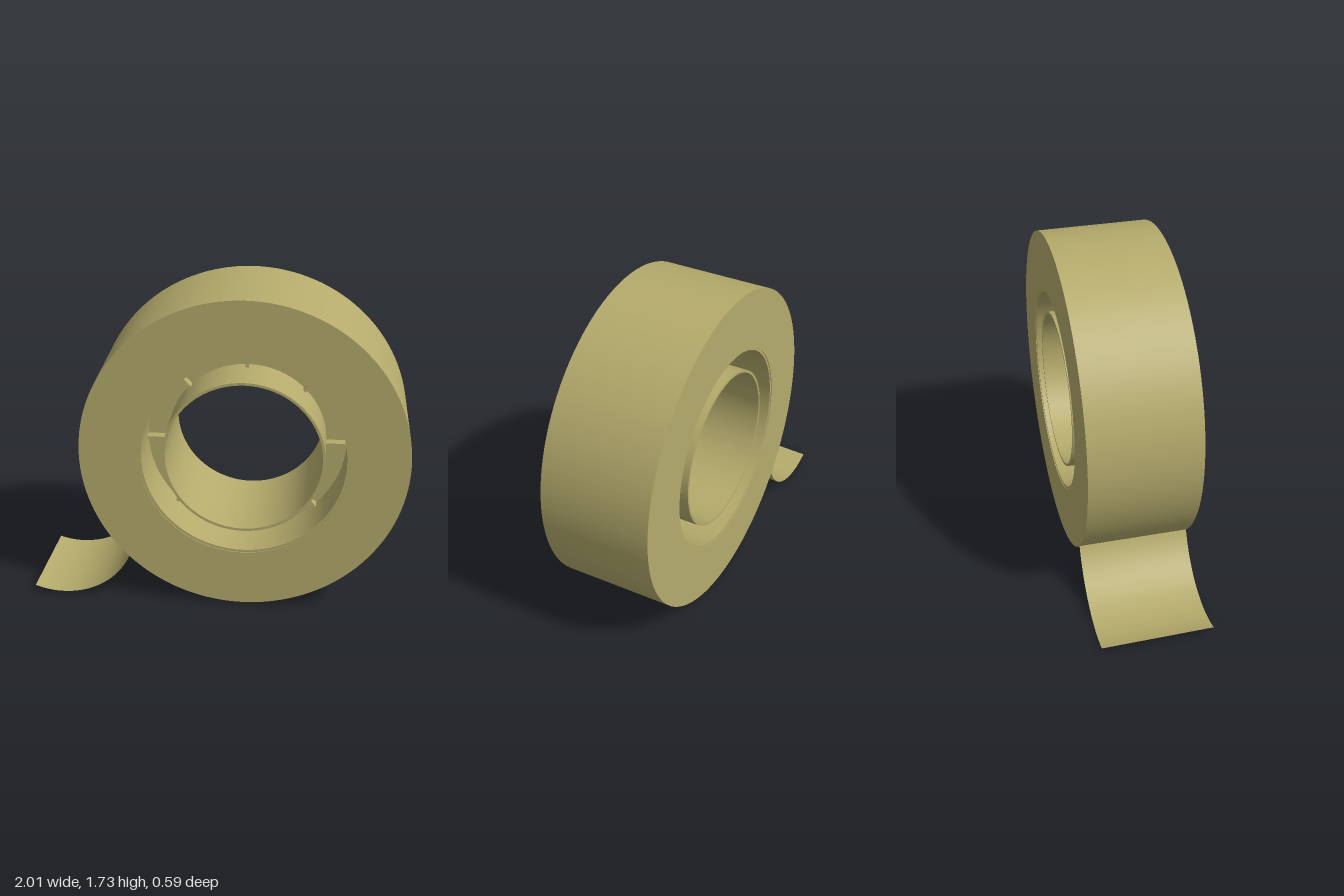
import * as THREE from 'three';
import { mergeGeometries } from 'three/addons/utils/BufferGeometryUtils.js';

const CX = 0.135, CY = 0.865; // roll axis
const HALF = 0.296; // half width of the tape

// Sharp-edged ring around the z axis with smooth walls
function ringGeometry(inner, outer, half) {
  const profile = [[inner, -half], [outer, -half], [outer, half], [inner, half], [inner, -half]]
    .map(([r, h]) => new THREE.Vector2(r, h));
  const walls = [];
  for (let i = 0; i < 4; i++) walls.push(new THREE.LatheGeometry([profile[i], profile[i + 1]], 128));
  return mergeGeometries(walls).rotateX(Math.PI / 2);
}

// Loose end: an arc curling away from the roll, with a slight twist towards the tip
function tailGeometry() {
  const g = new THREE.PlaneGeometry(1, 1, 40, 6);
  const p = g.attributes.position;
  const from = 0.02, to = -1.9;
  for (let i = 0; i < p.count; i++) {
    const t = p.getX(i) + 0.5, s = p.getY(i) * 2;
    const a = from + (to - from) * t;
    const twist = 0.011 * t * t * (s + 1);
    p.setXYZ(i,
      -0.865 + 0.42 * Math.cos(a) - 0.005 * t * (s + 1),
      0.42 + 0.42 * Math.sin(a) + twist,
      s * (HALF - 0.002));
  }
  g.computeVertexNormals();
  return g;
}

export function createModel() {
  const model = new THREE.Group();
  model.name = 'tapeRoll';
  const tan = new THREE.MeshStandardMaterial({ color: 0xb5ab6c, side: THREE.DoubleSide });
  tan.name = 'tan';

  const add = (parent, name, geometry) => {
    const mesh = new THREE.Mesh(geometry, tan);
    mesh.name = name;
    parent.add(mesh);
    return mesh;
  };

  const roll = new THREE.Group();
  roll.name = 'roll';
  roll.position.set(CX, CY, 0);
  model.add(roll);

  // Wound tape and the spool inside it
  add(roll, 'woundTape', ringGeometry(0.548, 0.861, HALF));
  add(roll, 'spoolOuterWall', ringGeometry(0.534, 0.548, HALF - 0.004));
  add(roll, 'spoolInnerWall', ringGeometry(0.41, 0.424, HALF - 0.015));
  add(roll, 'spoolWeb', ringGeometry(0.42, 0.538, 0.015));

  // Ribs standing out from both sides of the web
  for (let i = 0; i < 8; i++) {
    const a = i * Math.PI / 4;
    const rib = add(roll, 'spoolRib', new THREE.BoxGeometry(0.118, 0.016, 0.13));
    rib.position.set(0.479 * Math.cos(a), 0.479 * Math.sin(a), 0);
    rib.rotation.z = a;
  }

  add(model, 'looseTapeEnd', tailGeometry());
  return model;
}
